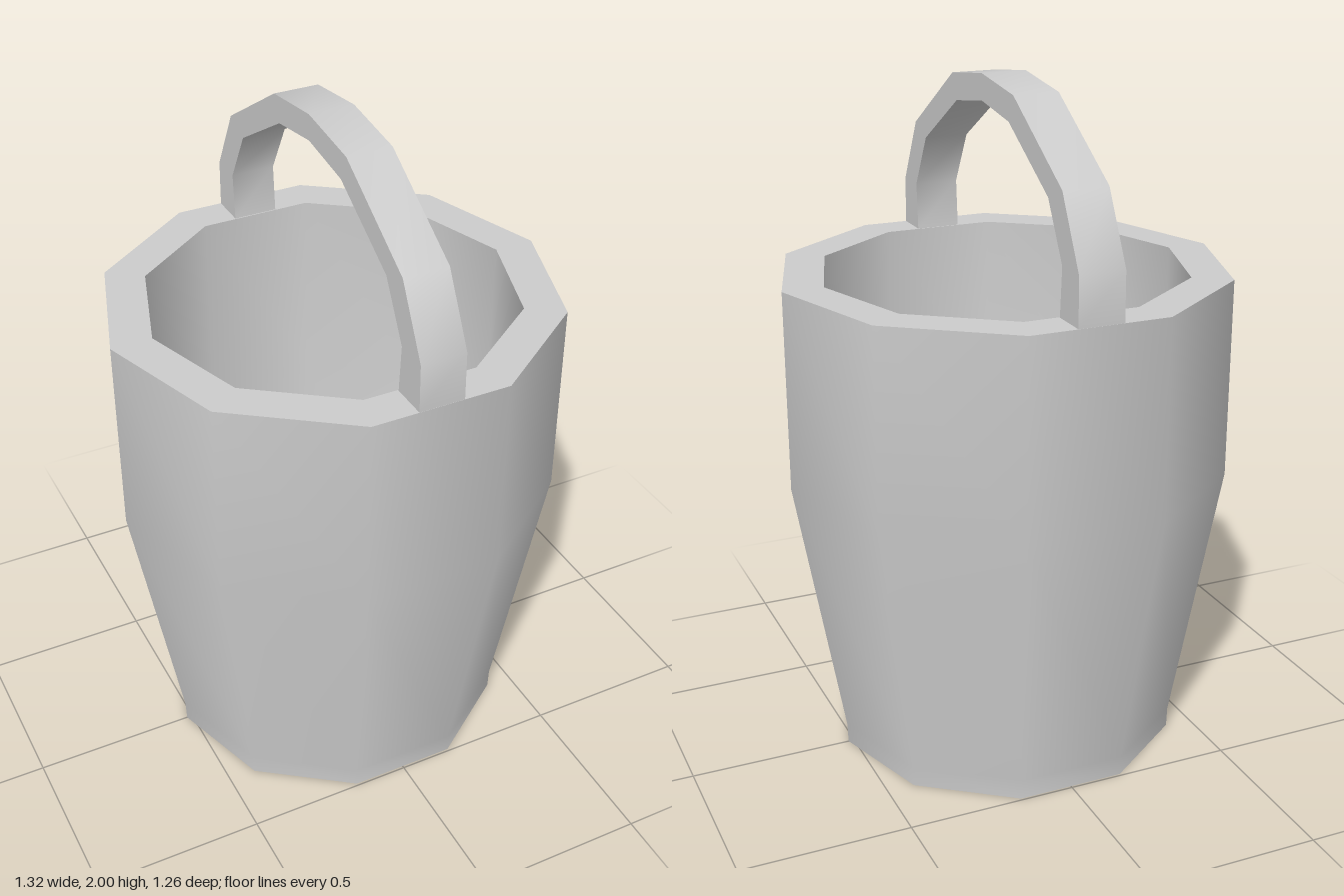
import * as THREE from 'three';
import { toCreasedNormals } from 'three/addons/utils/BufferGeometryUtils.js';

const SIDES = 10;
const CREASE = 0.7; // smooth around the sides, sharp at the rims
const HANDLE_WIDTH = 0.133;

export function createModel() {
  const group = new THREE.Group();
  const material = new THREE.MeshStandardMaterial({ color: 0xcccccc });

  const addPart = (name, geometry) => {
    const mesh = new THREE.Mesh(toCreasedNormals(geometry, CREASE), material);
    mesh.name = name;
    group.add(mesh);
  };

  // Bucket: outer wall going up, flat rim, inner wall going down to the floor
  const profile = [
    [0, 0], [0.518, 0], [0.52, 0.06], [0.66, 0.86], [0.66, 1.445],
    [0.54, 1.445], [0.54, 0.86], [0.425, 0.06], [0, 0.06],
  ].map(([r, y]) => new THREE.Vector2(r, y));
  addPart('bucket', new THREE.LatheGeometry(profile, SIDES, Math.PI / 2));

  // Handle: flat faceted arch standing on the rim from front to back
  const mirrored = (half) => [
    ...half,
    ...half.slice(0, -1).reverse().map(([z, y]) => [-z, y]),
  ];
  const outer = mirrored([[0.627, 1.445], [0.625, 1.585], [0.522, 1.78], [0.215, 1.972], [0, 2]]);
  const inner = mirrored([[0.517, 1.445], [0.527, 1.585], [0.438, 1.745], [0.185, 1.897], [0, 1.925]]);
  const arch = new THREE.Shape(
    [...outer, ...inner.reverse()].map(([z, y]) => new THREE.Vector2(z, y))
  );
  const handle = new THREE.ExtrudeGeometry(arch, { depth: HANDLE_WIDTH, bevelEnabled: false });
  handle.translate(0, 0, -HANDLE_WIDTH / 2).rotateY(Math.PI / 2);
  addPart('handle', handle);

  return group;
}
